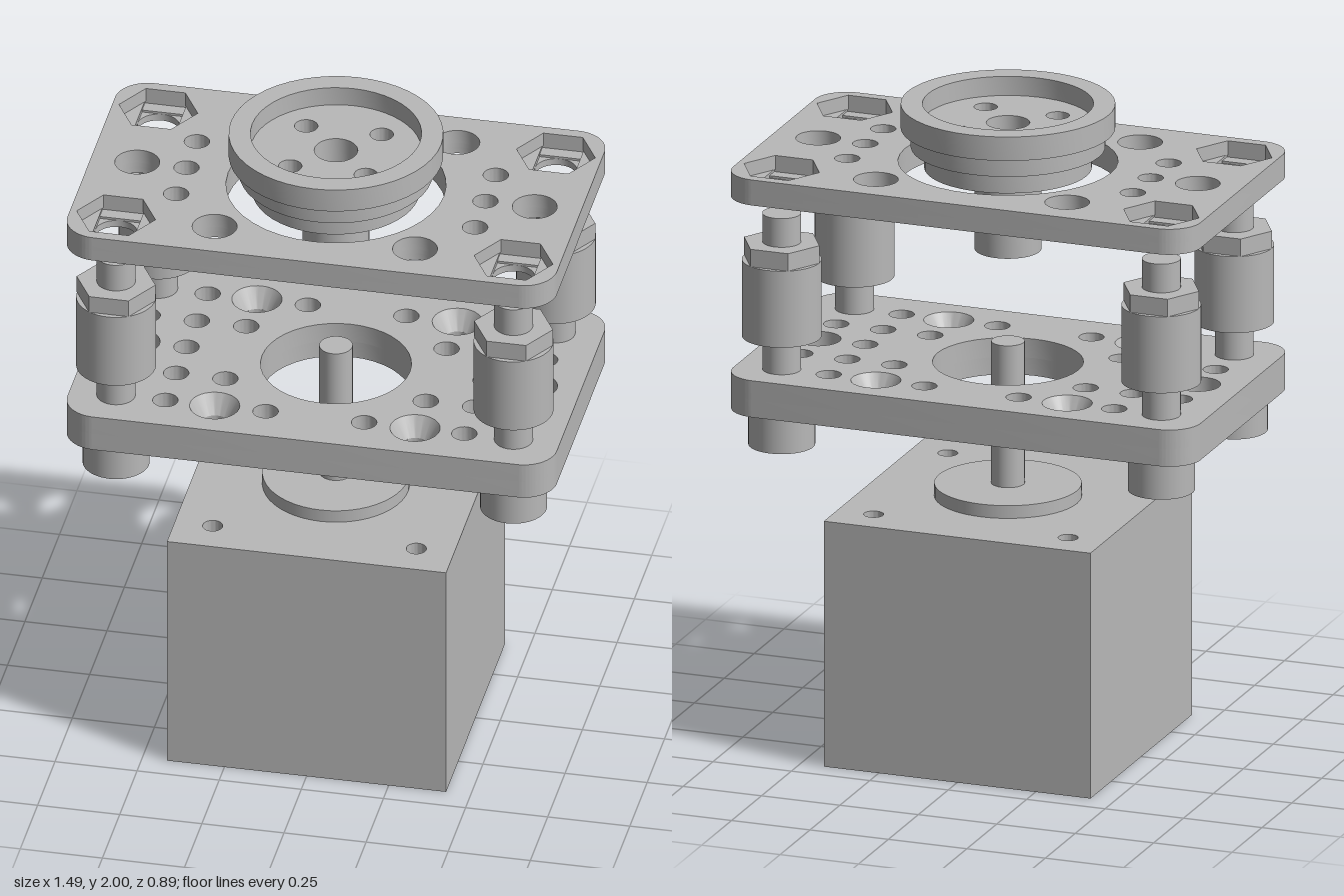
import * as THREE from 'three';
import { toCreasedNormals } from 'three/addons/utils/BufferGeometryUtils.js';

const grey = new THREE.MeshStandardMaterial({ color: 0xb8b8b8 });
grey.name = 'machined grey';

const SEG = 48;
const signs = [[1, 1], [1, -1], [-1, 1], [-1, -1]];
const mirror4 = (x, z) => signs.map(([a, b]) => [a * x, b * z]);

function add(parent, name, geometry, x = 0, y = 0, z = 0) {
  const mesh = new THREE.Mesh(geometry, grey);
  mesh.name = name;
  mesh.position.set(x, y, z);
  parent.add(mesh);
  return mesh;
}

// Upright cylinder between two heights
function cylinder(parent, name, r, y0, y1, x = 0, z = 0, sides = SEG) {
  let g = new THREE.CylinderGeometry(r, r, y1 - y0, sides);
  if (sides < 12) g = toCreasedNormals(g.rotateY(Math.PI / 2), 0.4);
  return add(parent, name, g, x, (y0 + y1) / 2, z);
}

function lathe(parent, name, points, x = 0, z = 0) {
  const g = new THREE.LatheGeometry(points.map(([r, y]) => new THREE.Vector2(r, y)), SEG);
  return add(parent, name, toCreasedNormals(g, 0.5), x, 0, z);
}

// Flat slab extruded upward from an outline with holes
function slab(parent, name, shape, holes, y0, y1) {
  shape.holes.push(...holes);
  const g = new THREE.ExtrudeGeometry(shape, { depth: y1 - y0, bevelEnabled: false, curveSegments: 20 });
  return add(parent, name, toCreasedNormals(g.rotateX(-Math.PI / 2), 0.5), 0, y0, 0);
}

const round = (r) => ([x, z]) => new THREE.Path().absarc(x, -z, r, 0, Math.PI * 2, true);
const rect = (hx, hz) => ([x, z]) => new THREE.Path([[-1, -1], [-1, 1], [1, 1], [1, -1]]
  .map(([a, b]) => new THREE.Vector2(x + a * hx, -z + b * hz)));
const hex = (r) => ([x, z]) => new THREE.Path(Array.from({ length: 6 }, (_, i) =>
  new THREE.Vector2(x + r * Math.cos(i * Math.PI / 3), -z + r * Math.sin(i * Math.PI / 3))));

// Rounded rectangular plate outline
function plateShape() {
  const w = 0.745, d = 0.443, r = 0.1, s = new THREE.Shape();
  s.absarc(w - r, d - r, r, 0, Math.PI / 2);
  s.absarc(r - w, d - r, r, Math.PI / 2, Math.PI);
  s.absarc(r - w, r - d, r, Math.PI, Math.PI * 1.5);
  s.absarc(w - r, r - d, r, Math.PI * 1.5, Math.PI * 2);
  s.closePath();
  return s;
}

const corners = mirror4(0.605, 0.305);
const screws = mirror4(0.305, 0.305);
const sideHoles = [[0.605, 0], [-0.605, 0]];
const smallHoles = [-1, 1].flatMap((s) => [-0.15, 0, 0.15].map((z) => [s * 0.455, z]));

function buildMotor(root) {
  const motor = new THREE.Group();
  motor.name = 'motor';
  root.add(motor);
  const w = 0.425;
  add(motor, 'motorBody', new THREE.BoxGeometry(2 * w, 0.68, 2 * w), 0, 0.34, 0);
  const square = new THREE.Shape([[-w, -w], [w, -w], [w, w], [-w, w]].map((p) => new THREE.Vector2(...p)));
  slab(motor, 'motorFace', square, mirror4(0.31, 0.31).map(round(0.03)), 0.68, 0.77);
  cylinder(motor, 'motorBoss', 0.22, 0.77, 0.81);
  cylinder(motor, 'motorShaft', 0.05, 0.81, 1.255);
}

function buildLowerPlate(root) {
  const plate = new THREE.Group();
  plate.name = 'lowerPlate';
  root.add(plate);
  const extra = [[0.605, 0.15], [0.455, 0.305], [0.15, 0.305], [0.305, 0.15]].flatMap((p) => mirror4(...p));
  const holes = () => [round(0.225)([0, 0]), ...sideHoles.map(round(0.068)),
    ...[...smallHoles, ...extra].map(round(0.038))];
  slab(plate, 'lowerPlateBase', plateShape(), [...holes(), ...screws.map(round(0.04))], 1.075, 1.13);
  slab(plate, 'lowerPlateTop', plateShape(), [...holes(), ...screws.map(round(0.075))], 1.13, 1.19);
  // Countersunk screw seats
  for (const [x, z] of screws) lathe(plate, 'countersink', [[0.075, 1.19], [0.04, 1.13]], x, z);
}

function buildUpperPlate(root) {
  const plate = new THREE.Group();
  plate.name = 'upperPlate';
  root.add(plate);
  // Hex nut pocket stepping down through a slot and a square to a round hole
  const layers = [
    [round(0.063), 1.74, 1.762], [rect(0.063, 0.063), 1.762, 1.769],
    [rect(0.063, 0.104), 1.769, 1.776], [hex(0.12), 1.776, 1.82],
  ];
  for (const [pocket, y0, y1] of layers) {
    slab(plate, 'upperPlateLayer', plateShape(), [
      round(0.328)([0, 0]), ...sideHoles.map(round(0.067)), ...screws.map(round(0.067)),
      ...smallHoles.map(round(0.038)), ...corners.map(pocket)], y0, y1);
  }
}

// Corner bolt with head, spacer and nut
function buildBolt(root, x, z) {
  const bolt = new THREE.Group();
  bolt.name = 'cornerBolt';
  root.add(bolt);
  cylinder(bolt, 'boltHead', 0.1, 0.955, 1.075, x, z);
  cylinder(bolt, 'boltShank', 0.058, 1.075, 1.68, x, z);
  cylinder(bolt, 'spacer', 0.119, 1.295, 1.535, x, z);
  cylinder(bolt, 'hexNut', 0.12, 1.535, 1.59, x, z, 6);
}

function buildTurntable(root) {
  const table = new THREE.Group();
  table.name = 'turntable';
  root.add(table);
  lathe(table, 'steppedRim', [[0.24, 1.8], [0.25, 1.8], [0.25, 1.865], [0.29, 1.865], [0.29, 1.925],
    [0.32, 1.925], [0.32, 2], [0.255, 2], [0.255, 1.94], [0.24, 1.94]]);
  const disc = new THREE.Shape().absarc(0, 0, 0.242, 0, Math.PI * 2);
  slab(table, 'turntableFloor', disc,
    [round(0.065)([0, 0]), ...mirror4(0.115, 0.115).map(round(0.035))], 1.8, 1.94);
  lathe(table, 'hub', [[0.065, 1.8], [0.065, 1.545], [0.1, 1.545], [0.1, 1.8]]);
}

export function createModel() {
  const root = new THREE.Group();
  root.name = 'motorMount';
  buildMotor(root);
  buildLowerPlate(root);
  buildUpperPlate(root);
  for (const [x, z] of corners) buildBolt(root, x, z);
  buildTurntable(root);
  return root;
}
